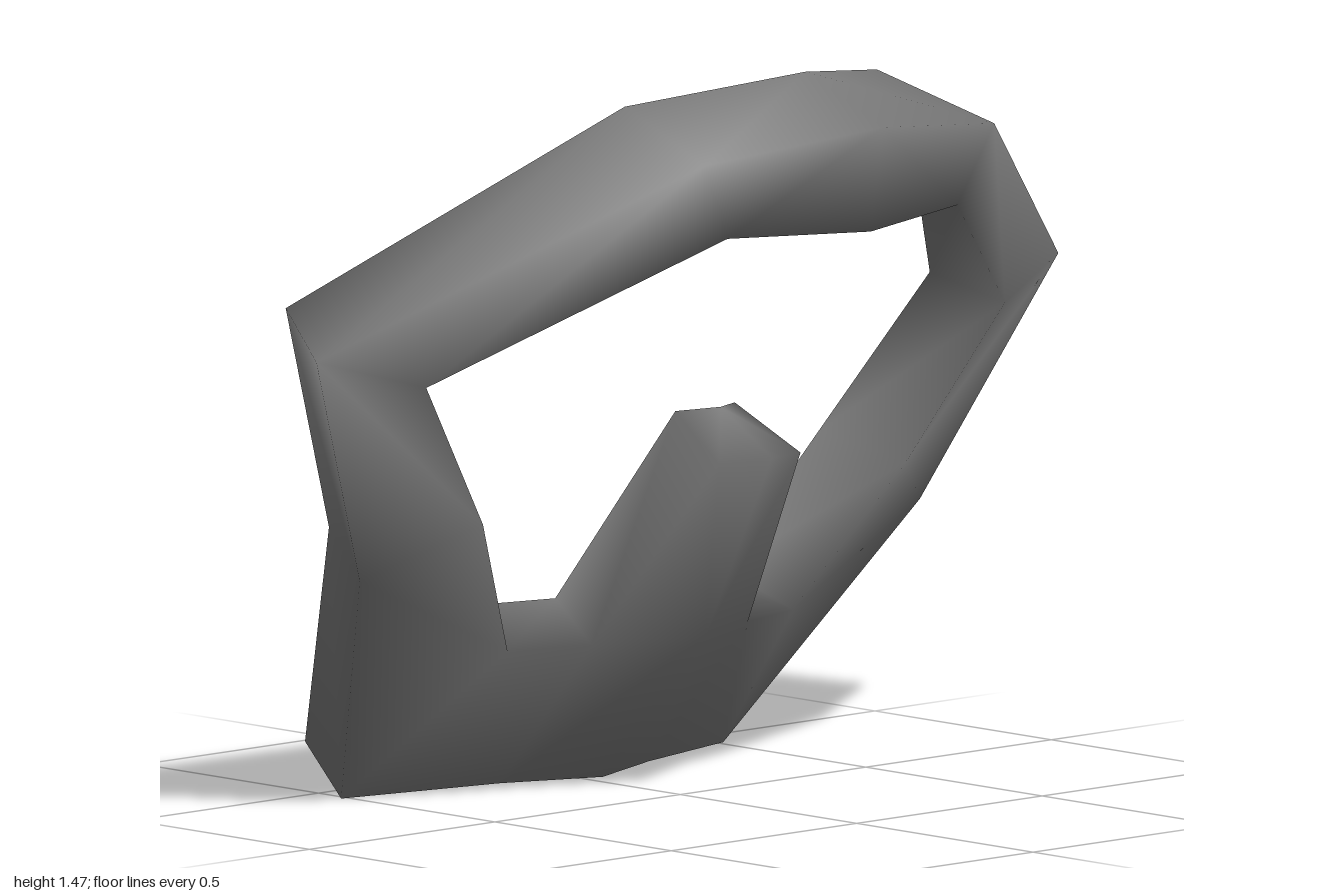
import * as THREE from 'three';
import { mergeVertices } from 'three/addons/utils/BufferGeometryUtils.js';

// Trough-shaped cross-sections of the left half, from the brow centre round to the chin centre.
// Corner order: outer back, outer front, inner front, inner back; the back stays open.
const browMiddle = [[0, 1.47, 0.355], [0, 1.385, 0.575], [0, 1.175, 0.54], [0, 1.25, 0.38]];
const brow = [[0.34, 1.42, 0.2], [0.39, 1.34, 0.48], [0.31, 1.185, 0.46], [0.31, 1.235, 0.34]];
const temple = [[0.945, 1.05, -0.125], [1, 0.965, 0.02], [0.78, 0.9, 0.1], [0.72, 0.95, -0.05]];
const cheek = [[0.7, 0.575, -0.26], [0.755, 0.49, -0.115], [0.57, 0.6, 0.04], [0.52, 0.645, -0.155]];
const jaw = [[0.465, 0.09, -0.575], [0.515, 0, -0.42], [0.385, 0.315, -0.085], [0.335, 0.385, -0.23]];
const noseBase = [[0.19, 0.09, -0.455], [0.2, 0.01, -0.3], [0.21, 0.315, -0.03], [0.185, 0.39, -0.16]];
const chinMiddle = [[0, 0.09, -0.375], [0, 0.01, -0.22], [0, 0.32, 0.07]];

// Top of the upright tab: side front, side back, centre front, centre back
const tip = {
  front: [0.11, 0.69, 0.225], back: [0.08, 0.775, 0.07],
  midFront: [0, 0.695, 0.26], midBack: [0, 0.78, 0.115],
};

// Collects quads together with their mirror images
function createSurface() {
  const positions = [];
  const flip = ([x, y, z]) => [-x, y, z];
  const triangle = (a, b, c) => positions.push(...a, ...b, ...c);
  return {
    quad(a, b, c, d) {
      triangle(a, b, c);
      triangle(a, c, d);
      triangle(flip(c), flip(b), flip(a));
      triangle(flip(d), flip(c), flip(a));
    },
    // Welded corners give smooth normals
    toGeometry() {
      const geometry = new THREE.BufferGeometry();
      geometry.setAttribute('position', new THREE.Float32BufferAttribute(positions, 3));
      const welded = mergeVertices(geometry, 1e-4);
      welded.computeVertexNormals();
      return welded;
    },
  };
}

export function createModel() {
  const group = new THREE.Group();
  group.name = 'maskFrame';
  const shell = createSurface();

  // Ring: outer, front and inner walls between neighbouring sections
  const sections = [browMiddle, brow, temple, cheek, jaw, noseBase, chinMiddle];
  for (let i = 0; i < sections.length - 1; i++) {
    const a = sections[i];
    const b = sections[i + 1];
    // the chin has no inner wall, as the tab rises there
    for (let k = 0; k < b.length - 1; k++) shell.quad(a[k], a[k + 1], b[k + 1], b[k]);
  }

  // Upright tab: side, front and cap
  const [, , sideFront, sideBack] = noseBase;
  const middleFront = chinMiddle[2];
  shell.quad(sideFront, sideBack, tip.back, tip.front);
  shell.quad(tip.front, tip.midFront, middleFront, sideFront);
  shell.quad(tip.front, tip.back, tip.midBack, tip.midFront);

  const material = new THREE.MeshStandardMaterial({ color: 0x7a7a7a, side: THREE.DoubleSide });
  const frame = new THREE.Mesh(shell.toGeometry(), material);
  frame.name = 'openBackedFrame';
  group.add(frame);
  return group;
}
